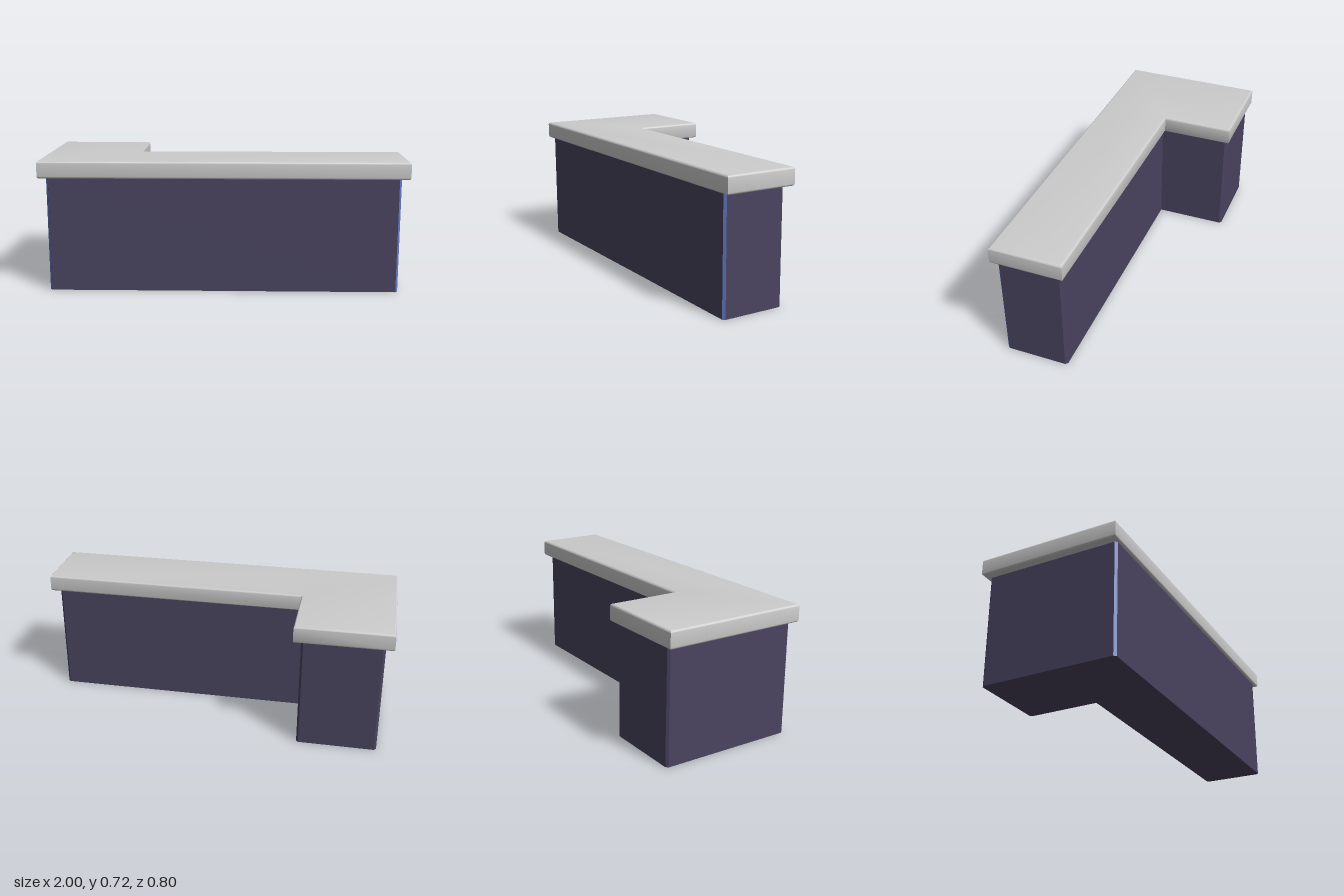
import * as THREE from 'three';
import { toCreasedNormals } from 'three/addons/utils/BufferGeometryUtils.js';

const BASE_HEIGHT = 0.625, TOP_HEIGHT = 0.72;
const BEVEL = 0.012;

// L-shaped plan, counter-clockwise in (x, -z); convex corners cut by c
function planShape(x0, x1, xInner, front, inner, back, c) {
  const corners = [
    [x0, -front], [x1, -front], [x1, -inner],
    [xInner, -inner], [xInner, -back], [x0, -back],
  ].map(([x, y]) => new THREE.Vector2(x, y));
  const points = [];
  corners.forEach((p, i) => {
    if (c === 0 || i === 3) { points.push(p); return; }
    const prev = corners[(i + 5) % 6], next = corners[(i + 1) % 6];
    for (const q of [prev, next]) {
      points.push(p.clone().add(q.clone().sub(p).setLength(c)));
    }
  });
  return new THREE.Shape(points);
}

export function createModel() {
  const group = new THREE.Group();
  const bodyMaterial = new THREE.MeshStandardMaterial({ color: 0x4a4460 });
  const trimMaterial = new THREE.MeshStandardMaterial({ color: 0x6078c0 });
  const topMaterial = new THREE.MeshStandardMaterial({ color: 0xcccccc });

  // Cabinet body with narrow chamfered corners
  const bodyGeometry = new THREE.ExtrudeGeometry(
    planShape(-0.955, 0.955, -0.515, 0.382, 0.03, -0.376, BEVEL),
    { depth: BASE_HEIGHT + 0.005, bevelEnabled: false });
  bodyGeometry.rotateX(-Math.PI / 2);
  const body = new THREE.Mesh(bodyGeometry, bodyMaterial);
  body.name = 'counterBody';
  group.add(body);

  // Blue strips on the two front corner chamfers
  for (const side of [-1, 1]) {
    const strip = new THREE.Mesh(
      new THREE.PlaneGeometry(BEVEL * Math.SQRT2, BASE_HEIGHT), trimMaterial);
    const inset = BEVEL / 2 - 0.0005;
    strip.position.set(side * (0.955 - inset), BASE_HEIGHT / 2, 0.382 - inset);
    strip.rotation.y = side * Math.PI / 4;
    strip.name = side > 0 ? 'leftCornerTrim' : 'rightCornerTrim';
    group.add(strip);
  }

  // Overhanging countertop with rounded upper and lower edges
  const topGeometry = new THREE.ExtrudeGeometry(
    planShape(-1, 1, -0.475, 0.398, 0.002, -0.398, 0), {
      depth: TOP_HEIGHT - BASE_HEIGHT - 2 * BEVEL,
      bevelThickness: BEVEL, bevelSize: BEVEL, bevelOffset: -BEVEL, bevelSegments: 4,
    });
  topGeometry.rotateX(-Math.PI / 2);
  topGeometry.translate(0, BASE_HEIGHT + BEVEL, 0);
  const top = new THREE.Mesh(toCreasedNormals(topGeometry, Math.PI / 5), topMaterial);
  top.name = 'countertop';
  group.add(top);

  return group;
}
